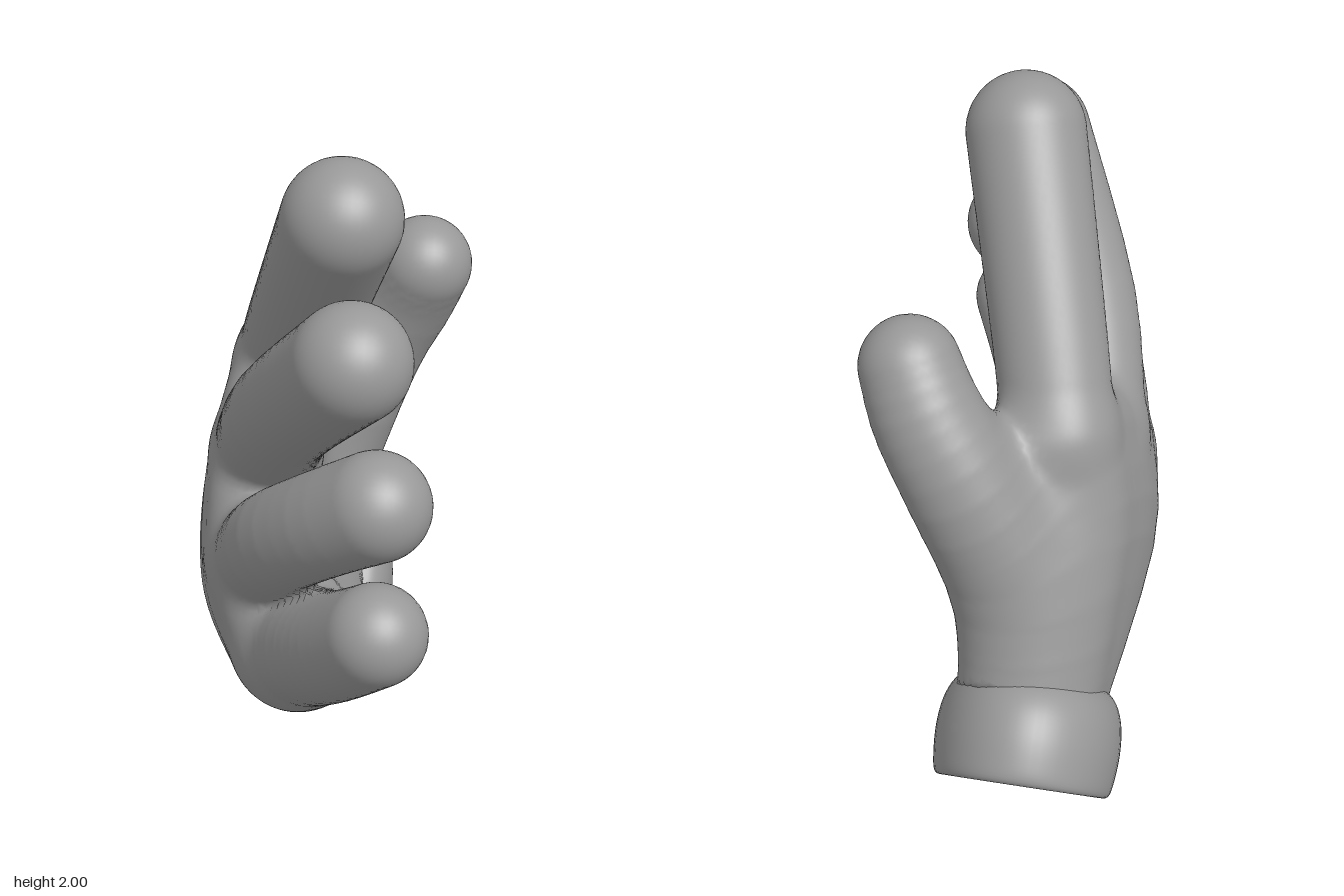
import * as THREE from 'three';

const material = new THREE.MeshStandardMaterial({ color: 0x999999 });

// Smooth samples along a path of [x, y, z, radius] points
function sample(points, n) {
  const last = points.length - 1;
  return Array.from({ length: n + 1 }, (_, i) => {
    const t = (i / n) * last, k = Math.min(Math.floor(t), last - 1), f = t - k;
    const [p, q, r, s] = [-1, 0, 1, 2].map((o) => points[THREE.MathUtils.clamp(k + o, 0, last)]);
    return q.map((b, m) => 0.5 * (2 * b + (r[m] - p[m]) * f + (2 * p[m] - 5 * b + 4 * r[m] - s[m]) * f * f
      + (3 * b - p[m] - 3 * r[m] + s[m]) * f * f * f));
  });
}

// Palm: a fan of bones from wrist to knuckles, spread evenly between four guides
const guides = [
  [[-0.11, 0.47, -0.54, 0.17], [-0.175, 0.92, -0.32, 0.16], [-0.135, 1.2, -0.25, 0.15]],
  [[-0.115, 0.43, -0.5, 0.175], [-0.195, 0.8, -0.12, 0.168], [-0.18, 1.04, -0.01, 0.148]],
  [[-0.115, 0.39, -0.455, 0.175], [-0.18, 0.63, 0.02, 0.172], [-0.17, 0.81, 0.19, 0.15]],
  [[-0.11, 0.35, -0.41, 0.16], [-0.075, 0.495, 0.09, 0.195], [-0.065, 0.6, 0.29, 0.175]],
];
const rows = [0, 1, 2].map((j) => sample(guides.map((guide) => guide[j]), 21));
const palmBones = rows[0].map((_, u) => sample(rows.map((row) => row[u]), 8));

const thumb = sample([[-0.11, 0.51, -0.56, 0.14], [-0.06, 0.85, -0.45, 0.18], [0.07, 1.15, -0.46, 0.16],
  [0.17, 1.33, -0.43, 0.147], [0.228, 1.45, -0.38, 0.134]], 14);

const fingers = {
  indexFinger: sample([[-0.135, 1.2, -0.25, 0.15], [-0.09, 1.38, -0.13, 0.152], [0.045, 1.84, 0.19, 0.16]], 8),
  middleFinger: sample([[-0.18, 1.04, -0.01, 0.148], [-0.1, 1.3, 0.24, 0.15], [0.1, 1.625, 0.56, 0.155]], 8),
  ringFinger: sample([[-0.17, 0.81, 0.19, 0.15], [-0.1, 1.0, 0.4, 0.142], [0.03, 1.15, 0.545, 0.14],
    [0.17, 1.265, 0.64, 0.143]], 10),
  littleFinger: sample([[-0.065, 0.6, 0.29, 0.175], [0.02, 0.725, 0.48, 0.155], [0.09, 0.825, 0.61, 0.143],
    [0.178, 0.943, 0.735, 0.135]], 10),
};

function boneDistance(bone, x, y, z) {
  let best = Infinity;
  for (let i = 0; i + 1 < bone.length; i++) {
    const a = bone[i], b = bone[i + 1];
    const dx = b[0] - a[0], dy = b[1] - a[1], dz = b[2] - a[2];
    const px = x - a[0], py = y - a[1], pz = z - a[2];
    const t = Math.min(1, Math.max(0, (px * dx + py * dy + pz * dz) / (dx * dx + dy * dy + dz * dz)));
    const qx = px - t * dx, qy = py - t * dy, qz = pz - t * dz;
    best = Math.min(best, Math.sqrt(qx * qx + qy * qy + qz * qz) - a[3] - t * (b[3] - a[3]));
  }
  return best;
}

function blend(a, b, k) {
  const h = Math.max(k - Math.abs(a - b), 0) / k;
  return Math.min(a, b) - h * h * k * 0.25;
}

const palmDistance = (x, y, z) =>
  palmBones.reduce((d, bone) => blend(d, boneDistance(bone, x, y, z), 0.015), 10);

// Skin distance: palm and thumb melt together, fingers stay apart from each other
function skin(x, y, z) {
  let d = blend(palmDistance(x, y, z), boneDistance(thumb, x, y, z), 0.12);
  let f = Infinity;
  for (const name in fingers) f = Math.min(f, boneDistance(fingers[name], x, y, z));
  d = blend(d, f, 0.04);
  // flat cut hidden inside the cuff
  return Math.max(d, 0.23 - ((z + 0.61) + (y - 0.26)) * Math.SQRT1_2);
}

function gradient([x, y, z]) {
  const e = 0.012;
  return new THREE.Vector3(
    skin(x + e, y, z) - skin(x - e, y, z),
    skin(x, y + e, z) - skin(x, y - e, z),
    skin(x, y, z + e) - skin(x, y, z - e)).divideScalar(2 * e);
}

// Name of the part that a skin point belongs to
function partAt(p) {
  let best = palmDistance(...p), part = 'palm';
  for (const [name, bone] of Object.entries({ thumb, ...fingers })) {
    const d = boneDistance(bone, ...p);
    if (d < best) { best = d; part = name; }
  }
  return part;
}

// Wrap the bones in one continuous skin of quads, split into named parts
function buildHand() {
  const h = 0.02, min = [-0.45, 0.1, -0.8], size = [44, 98, 86];
  const step = [1, size[0], size[0] * size[1]];
  const values = new Float32Array(size[0] * size[1] * size[2]).fill(1);
  const eachCell = (from, visit) => {
    for (let k = from; k < size[2] - 1; k++)
      for (let j = from; j < size[1] - 1; j++)
        for (let i = from; i < size[0] - 1; i++) visit(i, j, k, i + j * step[1] + k * step[2]);
  };
  eachCell(0, (i, j, k, id) => { values[id] = skin(min[0] + i * h, min[1] + j * h, min[2] + k * h); });

  // one vertex per crossed cell, pulled onto the skin
  const vertices = new Map();
  eachCell(0, (i, j, k, id) => {
    const sum = [0, 0, 0];
    let count = 0;
    for (let c = 0; c < 8; c++) {
      const corner = [c & 1, (c >> 1) & 1, c >> 2];
      const at = id + corner[0] + corner[1] * step[1] + corner[2] * step[2];
      for (let a = 0; a < 3; a++) {
        if (corner[a]) continue;
        const v0 = values[at], v1 = values[at + step[a]];
        if ((v0 < 0) === (v1 < 0)) continue;
        for (let m = 0; m < 3; m++) sum[m] += corner[m] + (m === a ? v0 / (v0 - v1) : 0);
        count++;
      }
    }
    if (!count) return;
    const p = [i, j, k].map((g, m) => min[m] + (g + sum[m] / count) * h);
    const g = gradient(p);
    const move = THREE.MathUtils.clamp(skin(...p) / Math.max(g.lengthSq(), 0.5), -h / 3, h / 3);
    const position = [p[0] - g.x * move, p[1] - g.y * move, p[2] - g.z * move];
    vertices.set(id, { position, normal: gradient(position).normalize().toArray() });
  });

  // one quad per crossed grid edge
  const parts = {};
  eachCell(1, (i, j, k, id) => {
    for (let a = 0; a < 3; a++) {
      const inside = values[id] < 0;
      if (inside === (values[id + step[a]] < 0)) continue;
      const b = step[(a + 1) % 3], c = step[(a + 2) % 3];
      const quad = [id - b - c, id - c, id, id - b].map((n) => vertices.get(n));
      if (!inside) quad.reverse();
      const part = (parts[partAt(quad[0].position)] ??= { position: [], normal: [] });
      for (const n of [0, 1, 2, 0, 2, 3]) {
        part.position.push(...quad[n].position);
        part.normal.push(...quad[n].normal);
      }
    }
  });

  const hand = new THREE.Group();
  hand.name = 'hand';
  for (const [name, part] of Object.entries(parts)) {
    const geometry = new THREE.BufferGeometry();
    for (const key of ['position', 'normal'])
      geometry.setAttribute(key, new THREE.Float32BufferAttribute(part[key], 3));
    const mesh = new THREE.Mesh(geometry, material);
    mesh.name = name;
    hand.add(mesh);
  }
  return hand;
}

// Rolled oval cuff with a hollow opening
function buildCuff() {
  const profile = new THREE.SplineCurve([
    [0, 0.2], [0.14, 0.19], [0.24, 0.14], [0.285, 0.07], [0.305, 0.015], [0.335, -0.004], [0.367, 0.006],
    [0.382, 0.06], [0.387, 0.13], [0.375, 0.2], [0.342, 0.255], [0.29, 0.285], [0.2, 0.295],
  ].map(([r, y]) => new THREE.Vector2(r, y))).getPoints(60);
  profile.forEach((p) => { p.x = Math.max(p.x, 0); });
  const cuff = new THREE.Mesh(new THREE.LatheGeometry(profile, 64), material);
  cuff.name = 'cuff';
  cuff.scale.x = 0.66;
  cuff.rotation.set(Math.PI / 4, 0.12, 0);
  cuff.position.set(-0.113, 0.256, -0.614);
  return cuff;
}

export function createModel() {
  const glove = new THREE.Group();
  glove.name = 'glove';
  glove.add(buildHand(), buildCuff());
  return glove;
}
